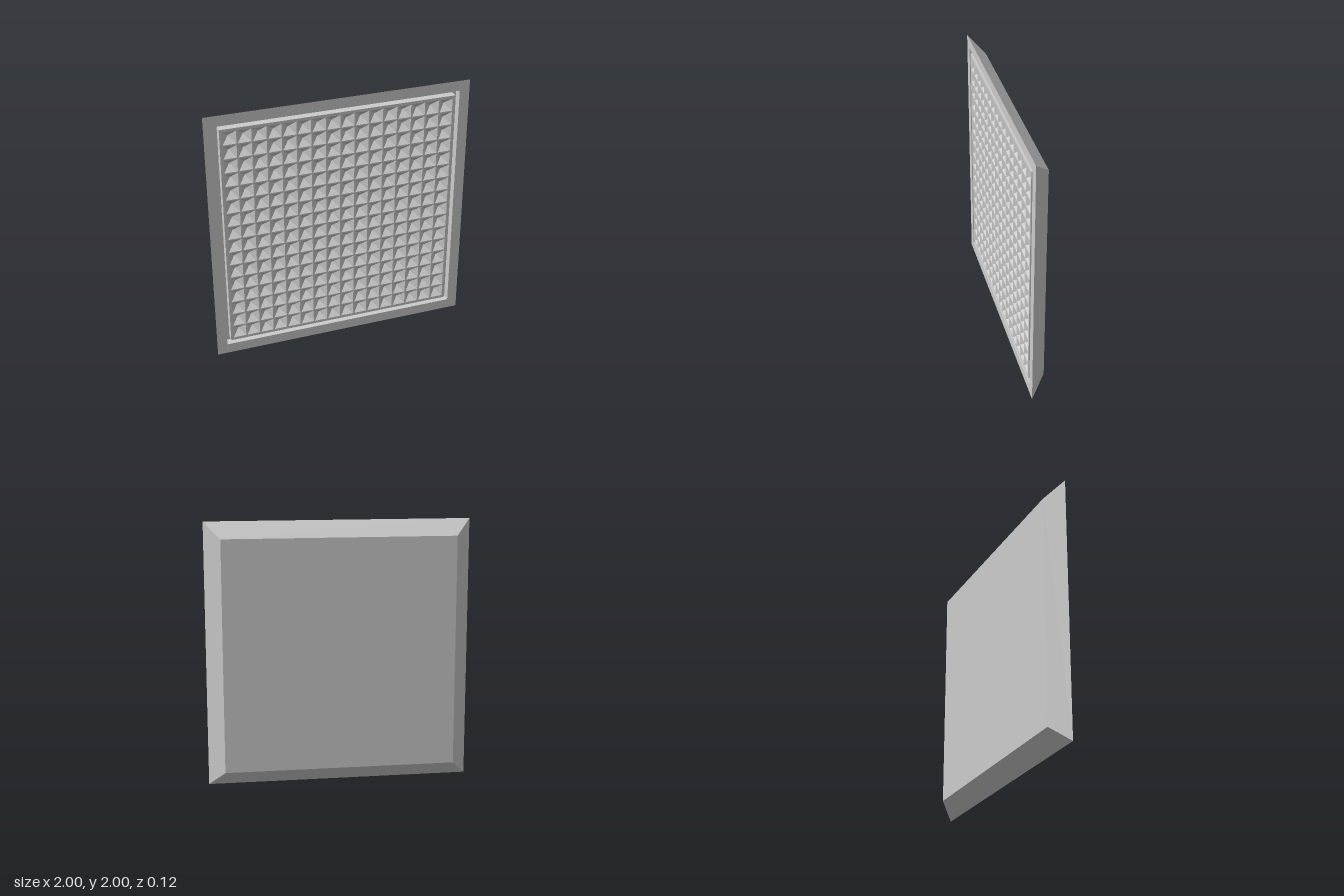
import * as THREE from 'three';
import { mergeGeometries } from 'three/addons/utils/BufferGeometryUtils.js';

const FRONT = 0.06, BACK = -0.06;
const CELLS = 16, PITCH = 0.1092, RIB = 0.01;
const HALF = (PITCH - RIB) / 2;             // half width of one pocket
const FIELD = (CELLS * PITCH - RIB) / 2;    // half width of the pocket field
const POCKET_DEPTH = 0.05;

// Joins concentric square rings, each [half width, z], with flat faces
function loftSquares(rings) {
  const pos = [];
  const corner = ([h, z], k) => {
    const [x, y] = [[1, -1], [1, 1], [-1, 1], [-1, -1]][k % 4];
    return [x * h, y * h, z];
  };
  for (let i = 0; i + 1 < rings.length; i++) {
    const [a, b] = [rings[i], rings[i + 1]];
    for (let k = 0; k < 4; k++) {
      const a0 = corner(a, k), a1 = corner(a, k + 1), b0 = corner(b, k), b1 = corner(b, k + 1);
      if (a[0] > 0) pos.push(...a0, ...a1, ...b1);
      if (b[0] > 0) pos.push(...a0, ...b1, ...b0);
    }
  }
  const g = new THREE.BufferGeometry();
  g.setAttribute('position', new THREE.Float32BufferAttribute(pos, 3));
  g.computeVertexNormals();
  return g;
}

function square(Path, cx, cy, h) {
  return new Path([[-h, -h], [h, -h], [h, h], [-h, h]].map(([x, y]) => new THREE.Vector2(cx + x, cy + y)));
}

export function createModel() {
  const group = new THREE.Group();
  const material = new THREE.MeshStandardMaterial({ color: 0xcccccc, flatShading: true });
  const add = (name, geometry) => {
    const mesh = new THREE.Mesh(geometry, material);
    mesh.name = name;
    mesh.position.y = 1;
    group.add(mesh);
  };

  // Back plate, bevelled sides, front border, groove and inner rim
  add('frame', loftSquares([
    [0, BACK], [0.88, BACK], [1, FRONT], [0.922, FRONT],
    [0.922, 0], [0.89, 0], [0.89, FRONT], [FIELD, FRONT],
  ]));

  // Flat ribs between the pockets, and the pyramid pockets themselves
  const ribs = square(THREE.Shape, 0, 0, FIELD);
  const pockets = [];
  for (let i = 0; i < CELLS; i++) {
    for (let j = 0; j < CELLS; j++) {
      const x = (i - (CELLS - 1) / 2) * PITCH;
      const y = (j - (CELLS - 1) / 2) * PITCH;
      pockets.push(loftSquares([[HALF, FRONT], [0, FRONT - POCKET_DEPTH]]).translate(x, y, 0));
    }
  }
  add('pockets', mergeGeometries(pockets));

  // Ribs as strips: full-height verticals, short horizontals between them
  const strips = [];
  const strip = (w, h, x, y) => strips.push(new THREE.PlaneGeometry(w, h).translate(x, y, FRONT));
  for (let i = 1; i < CELLS; i++) {
    const c = (i - CELLS / 2) * PITCH;
    strip(RIB, FIELD * 2, c, 0);
    for (let j = 0; j < CELLS; j++) strip(HALF * 2, RIB, (j - (CELLS - 1) / 2) * PITCH, c);
  }
  add('ribs', mergeGeometries(strips));

  return group;
}
